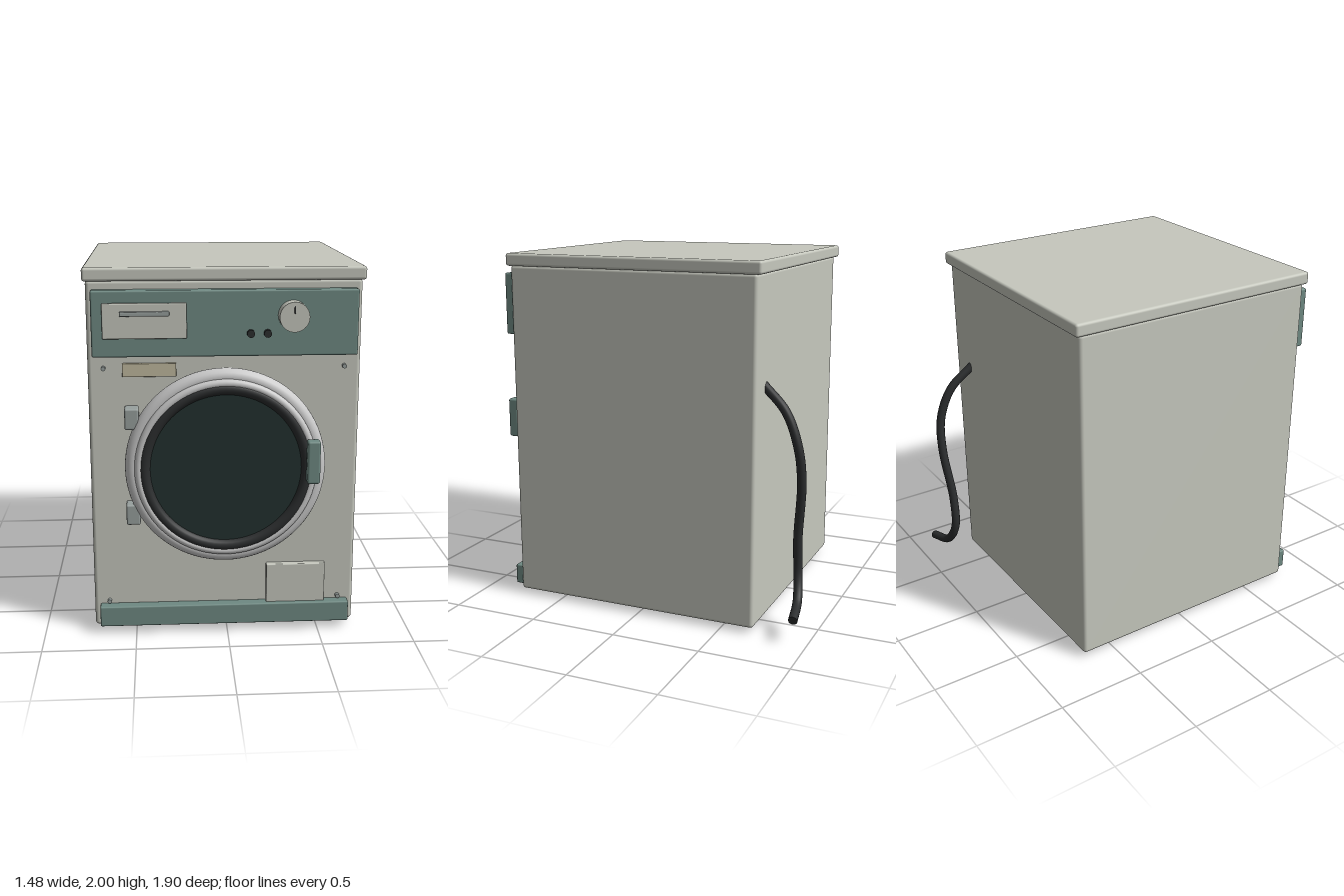
import * as THREE from 'three';
import { RoundedBoxGeometry } from 'three/addons/geometries/RoundedBoxGeometry.js';

const mat = (color) => new THREE.MeshStandardMaterial({ color });

export function createModel() {
  const model = new THREE.Group();
  model.name = 'washingMachine';

  const enamel = mat(0xc6c8be);
  const teal = mat(0x6f8a83);
  const rubber = mat(0x2c2e2f);
  const glass = mat(0x22312f);
  const metal = mat(0x98a09e);
  const chrome = mat(0xcccccc);
  const beige = mat(0xc2bba0);

  const add = (name, geometry, material, x = 0, y = 0, z = 0) => {
    const mesh = new THREE.Mesh(geometry, material);
    mesh.name = name;
    mesh.position.set(x, y, z);
    model.add(mesh);
    return mesh;
  };

  // Softened box given by its limits on each axis
  const block = (name, material, [x0, x1], [y0, y1], [z0, z1], radius = 0.006) =>
    add(name, new RoundedBoxGeometry(x1 - x0, y1 - y0, z1 - z0, 3, radius), material,
      (x0 + x1) / 2, (y0 + y1) / 2, (z0 + z1) / 2);

  // Cylinder whose axis runs from z0 to z1
  const disc = (name, material, radius, x, y, z0, z1, sides = 32) => {
    const geometry = new THREE.CylinderGeometry(radius, radius, z1 - z0, sides);
    geometry.rotateX(Math.PI / 2);
    return add(name, geometry, material, x, y, (z0 + z1) / 2);
  };

  // Cabinet and worktop
  block('cabinet', enamel, [-0.727, 0.7], [0.03, 1.935], [-0.69, 0.76], 0.02);
  block('worktop', enamel, [-0.743, 0.717], [1.93, 2], [-0.716, 0.78], 0.015);

  // Feet
  for (const x of [-0.558, 0.53]) {
    for (const z of [-0.512, 0.575]) {
      add('foot', new THREE.CylinderGeometry(0.068, 0.068, 0.04, 32), rubber, x, 0.02, z);
    }
  }

  // Control panel with detergent drawer, lights and dial
  block('controlPanel', teal, [-0.7, 0.675], [1.545, 1.888], [0.75, 0.813], 0.01);
  block('detergentDrawer', enamel, [-0.643, -0.212], [1.643, 1.825], [0.79, 0.832]);
  block('drawerGrip', metal, [-0.553, -0.3], [1.762, 1.785], [0.825, 0.86]);
  for (const x of [0.116, 0.203]) disc('indicatorLight', rubber, 0.02, x, 1.665, 0.8, 0.84, 24);
  disc('dial', enamel, 0.077, 0.333, 1.757, 0.8, 0.89, 40);
  block('dialPointer', rubber, [0.33, 0.336], [1.775, 1.815], [0.88, 0.896], 0.002);

  // Front panel fittings
  block('ratingPlate', beige, [-0.548, -0.267], [1.434, 1.505], [0.75, 0.775], 0.003);
  block('filterCover', enamel, [0.214, 0.537], [0.13, 0.38], [0.75, 0.793]);
  block('kickPlate', teal, [-0.696, 0.669], [0.045, 0.16], [0.755, 0.817], 0.008);
  for (const x of [-0.645, 0.614]) {
    for (const y of [0.177, 1.48]) disc('screw', metal, 0.012, x, y, 0.75, 0.782, 16);
  }

  // Round door: outer ring, inner rim, seal and glass
  const doorX = -0.013;
  const doorY = 0.957;
  const ring = (name, material, radius, tube, z) =>
    add(name, new THREE.TorusGeometry(radius, tube, 20, 80), material, doorX, doorY, z);
  ring('doorRing', chrome, 0.485, 0.045, 0.817);
  ring('doorRim', chrome, 0.457, 0.023, 0.863);
  ring('doorSeal', rubber, 0.428, 0.032, 0.857);
  disc('doorGlass', glass, 0.42, doorX, doorY, 0.755, 0.865, 80);

  // Door handle and hinges
  block('doorHandle', teal, [0.405, 0.473], [0.89, 1.12], [0.893, 0.955], 0.012);
  block('handleMount', teal, [0.422, 0.456], [0.96, 1.05], [0.85, 0.9]);
  for (const y of [0.698, 1.222]) {
    block('hinge', metal, [-0.54, -0.466], [y - 0.056, y + 0.056], [0.75, 0.84], 0.01);
  }

  // Drain hose hanging behind the cabinet
  const path = new THREE.CatmullRomCurve3([
    [0.53, 1.345, -0.67], [0.56, 1.21, -0.81], [0.572, 1.03, -0.883], [0.55, 0.84, -0.9],
    [0.505, 0.5, -0.873], [0.5, 0.3, -0.878], [0.575, 0.18, -0.9], [0.732, 0.135, -0.925],
  ].map((p) => new THREE.Vector3(...p)));
  add('drainHose', new THREE.TubeGeometry(path, 80, 0.025, 16), rubber);

  // Caps on the hose ends
  for (const t of [0, 1]) {
    const cap = add('hoseCap', new THREE.CircleGeometry(0.025, 16), rubber);
    const end = path.getPointAt(t);
    const outward = path.getTangentAt(t).multiplyScalar(t ? 1 : -1);
    cap.position.copy(end);
    cap.lookAt(end.add(outward));
  }

  return model;
}
